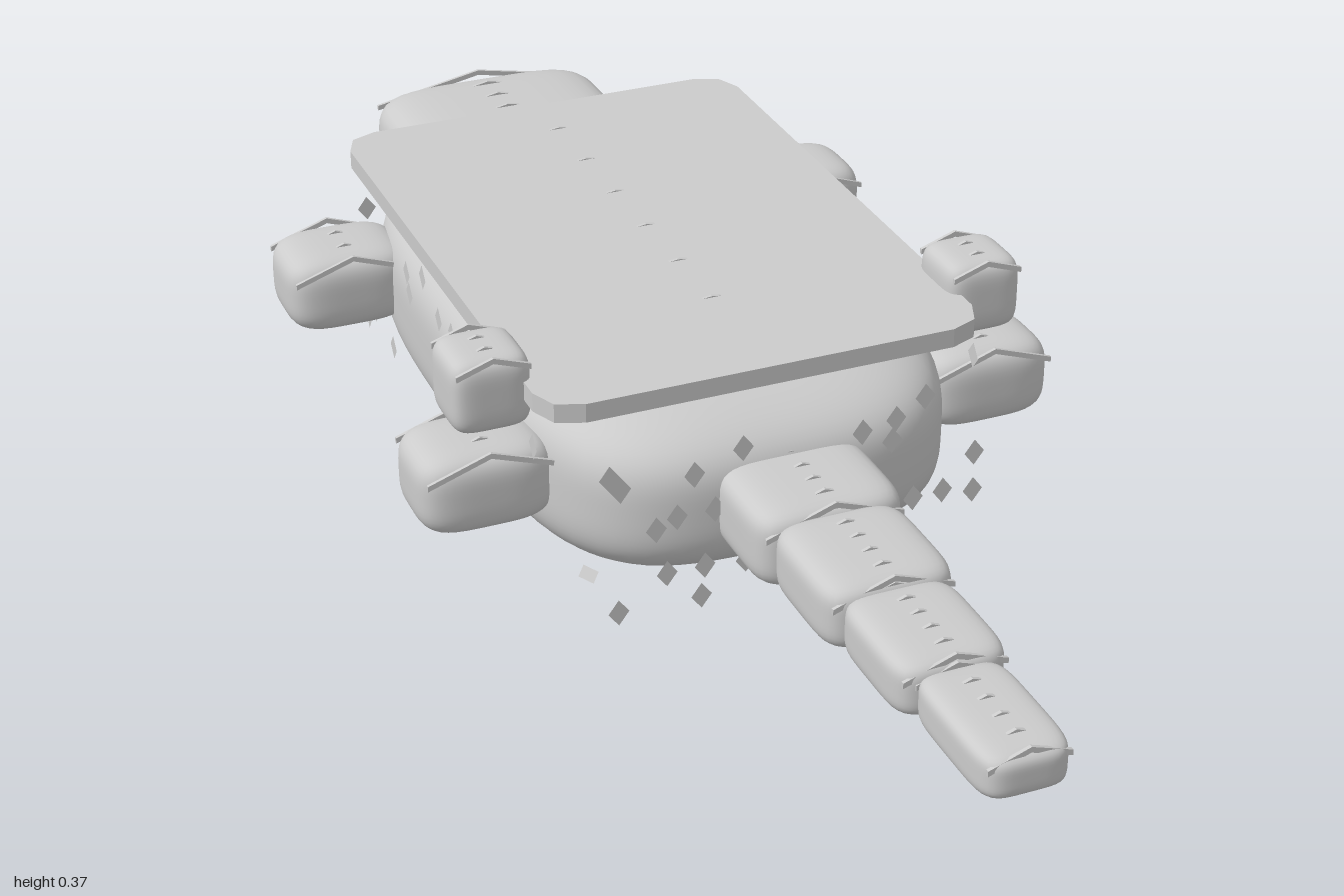
import * as THREE from 'three';
import { mergeVertices } from 'three/addons/utils/BufferGeometryUtils.js';

const smooth = new THREE.MeshStandardMaterial({ color: 0xcccccc });
const flat = new THREE.MeshStandardMaterial({ color: 0xcccccc, flatShading: true });
const thin = new THREE.MeshStandardMaterial({ color: 0xcccccc, flatShading: true, side: THREE.DoubleSide });

function add(parent, name, geometry, material, x = 0, y = 0, z = 0) {
  const mesh = new THREE.Mesh(geometry, material);
  mesh.name = name;
  mesh.position.set(x, y, z);
  parent.add(mesh);
  return mesh;
}

// Box swollen into a superellipsoid; a higher power gives a boxier form
function softBox(w, h, d, power, segments = 14) {
  let g = new THREE.BoxGeometry(2, 2, 2, segments, segments, segments);
  g.deleteAttribute('normal');
  g.deleteAttribute('uv');
  g = mergeVertices(g);
  const p = g.attributes.position;
  for (let i = 0; i < p.count; i++) {
    const v = [p.getX(i), p.getY(i), p.getZ(i)];
    const r = v.reduce((s, c) => s + Math.abs(c) ** power, 0) ** (1 / power);
    p.setXYZ(i, v[0] / r * w / 2, v[1] / r * h / 2, v[2] / r * d / 2);
  }
  g.computeVertexNormals();
  return g;
}

// Thin roof-shaped ridge, with its peak at the origin
function ridge(halfWidth, drop) {
  const s = new THREE.Shape();
  const t = 0.008;
  s.moveTo(-halfWidth, -drop);
  s.lineTo(0, 0);
  s.lineTo(halfWidth, -drop);
  s.lineTo(halfWidth, -drop - t);
  s.lineTo(0, -t);
  s.lineTo(-halfWidth, -drop - t);
  return new THREE.ExtrudeGeometry(s, { depth: 0.005, bevelEnabled: false });
}

// Soft segment given by its bounds, topped with a row of ridges
function segment(parent, name, [x0, x1], [y0, y1], [z0, z1], power, ridges) {
  const group = new THREE.Group();
  group.name = name;
  parent.add(group);
  const w = x1 - x0, d = z1 - z0, cx = (x0 + x1) / 2;
  add(group, name + 'Form', softBox(w, y1 - y0, d, power), smooth, cx, (y0 + y1) / 2, (z0 + z1) / 2);
  const g = ridge(w * 0.46, Math.min(0.035, w * 0.16));
  for (let i = 0; i < ridges; i++) {
    add(group, 'ridge', g, thin, cx, y1 + 0.004, z0 + d * (0.04 + 0.9 * i / (ridges - 1)));
  }
}

function seeded(seed) {
  return () => (seed = (seed * 16807) % 2147483647) / 2147483647;
}

export function createModel() {
  const root = new THREE.Group();

  // Body
  add(root, 'body', softBox(0.65, 0.288, 1.06, 3.6, 24), smooth, 0, 0.157, -0.21);

  // Back plate with softened corners
  const plate = new THREE.Shape();
  const X = 0.325, Z0 = -0.25, Z1 = 0.685, c = 0.055, k = 0.016;
  const corners = [[X, Z0, -1, 1], [X, Z1, -1, -1], [-X, Z1, 1, -1], [-X, Z0, 1, 1]];
  corners.forEach(([x, z, sx, sz], i) => {
    const pts = [[x + sx * c, z], [x + sx * k, z + sz * k], [x, z + sz * c]];
    if (i % 2) pts.reverse();
    pts.forEach(([a, b], j) => (i + j ? plate.lineTo(a, b) : plate.moveTo(a, b)));
  });
  const plateGeo = new THREE.ExtrudeGeometry(plate, { depth: 0.028, bevelEnabled: false });
  plateGeo.rotateX(-Math.PI / 2);
  add(root, 'backPlate', plateGeo, flat, 0, 0.3, 0);

  // Ridge tips that break through the back plate
  const tip = ridge(0.035, 0.005);
  for (let i = 0; i < 6; i++) add(root, 'backRidge', tip, thin, 0, 0.33, 0.03 - i * 0.124);

  // Head and tapering tail
  segment(root, 'head', [-0.192, 0.192], [0.083, 0.268], [-0.995, -0.715], 5, 6);
  const tail = [
    [0.108, 0.105, 0.224, 0.26, 0.46],
    [0.093, 0.115, 0.215, 0.435, 0.635],
    [0.078, 0.122, 0.205, 0.615, 0.805],
    [0.061, 0.127, 0.195, 0.79, 0.997],
  ];
  tail.forEach(([w, y0, y1, z0, z1], i) =>
    segment(root, 'tailSegment' + (i + 1), [-w, w], [y0, y1], [z0, z1], 5, 6));

  // Feet and the raised knobs above the front pair
  for (const [side, s] of [['left', 1], ['right', -1]]) {
    const span = (a, b) => (s > 0 ? [a, b] : [-b, -a]);
    segment(root, side + 'FrontFoot', span(0.28, 0.476), [0.11, 0.233], [0.025, 0.18], 4, 4);
    segment(root, side + 'RearFoot', span(0.28, 0.476), [0.11, 0.233], [-0.61, -0.452], 4, 4);
    segment(root, side + 'Knob', span(0.309, 0.423), [0.256, 0.368], [0.05, 0.165], 5, 4);
  }

  // Loose diamond scales around the body
  const scales = new THREE.Group();
  scales.name = 'scales';
  root.add(scales);
  const diamond = new THREE.CircleGeometry(0.02, 4);
  diamond.scale(0.75, 1, 1);
  const endSpots = [
    [-0.265, 0.25], [-0.25, 0.23], [-0.145, 0.23], [-0.075, 0.255], [-0.2, 0.157], [-0.17, 0.17],
    [-0.115, 0.17], [-0.185, 0.085], [-0.255, 0.04], [-0.13, 0.085], [-0.135, 0.038], [-0.07, 0.08],
    [-0.05, 0.08], [0.025, 0.075], [0.065, 0.043], [0.13, 0.072], [0.125, 0.038], [0.18, 0.04],
    [0.18, 0.118], [0.225, 0.12], [0.272, 0.11], [0.272, 0.17], [0.1, 0.24], [0.145, 0.217],
    [0.15, 0.25], [0.193, 0.275],
  ];
  const sideSpots = [
    [0, 0.25], [-0.14, 0.25], [-0.27, 0.28], [-0.2, 0.245], [-0.35, 0.25], [-0.34, 0.22], [-0.14, 0.22],
    [0.2, 0.25], [-0.05, 0.06], [-0.06, 0.04], [-0.12, 0.065], [-0.14, 0.05], [-0.2, 0.07],
    [-0.44, 0.08], [-0.53, 0.1], [-0.57, 0.07], [-0.6, 0.1],
  ];
  for (const [x, y] of endSpots) {
    add(scales, 'frontScale', diamond, thin, x, y, 0.32);
    add(scales, 'rearScale', diamond, thin, -x, y, -0.745);
  }
  for (const s of [-1, 1]) {
    for (const [z, y] of sideSpots) add(scales, 'sideScale', diamond, thin, s * 0.328, y, z).rotation.y = Math.PI / 2;
  }
  const random = seeded(11);
  for (let i = 0; i < 30; i++) {
    const x = (random() - 0.5) * 0.54, z = 0.22 - random() * 0.86;
    add(scales, 'bellyScale', diamond, thin, x, 0.008 + random() * 0.006, z).rotation.x = Math.PI / 2 + 0.2;
  }
  return root;
}
